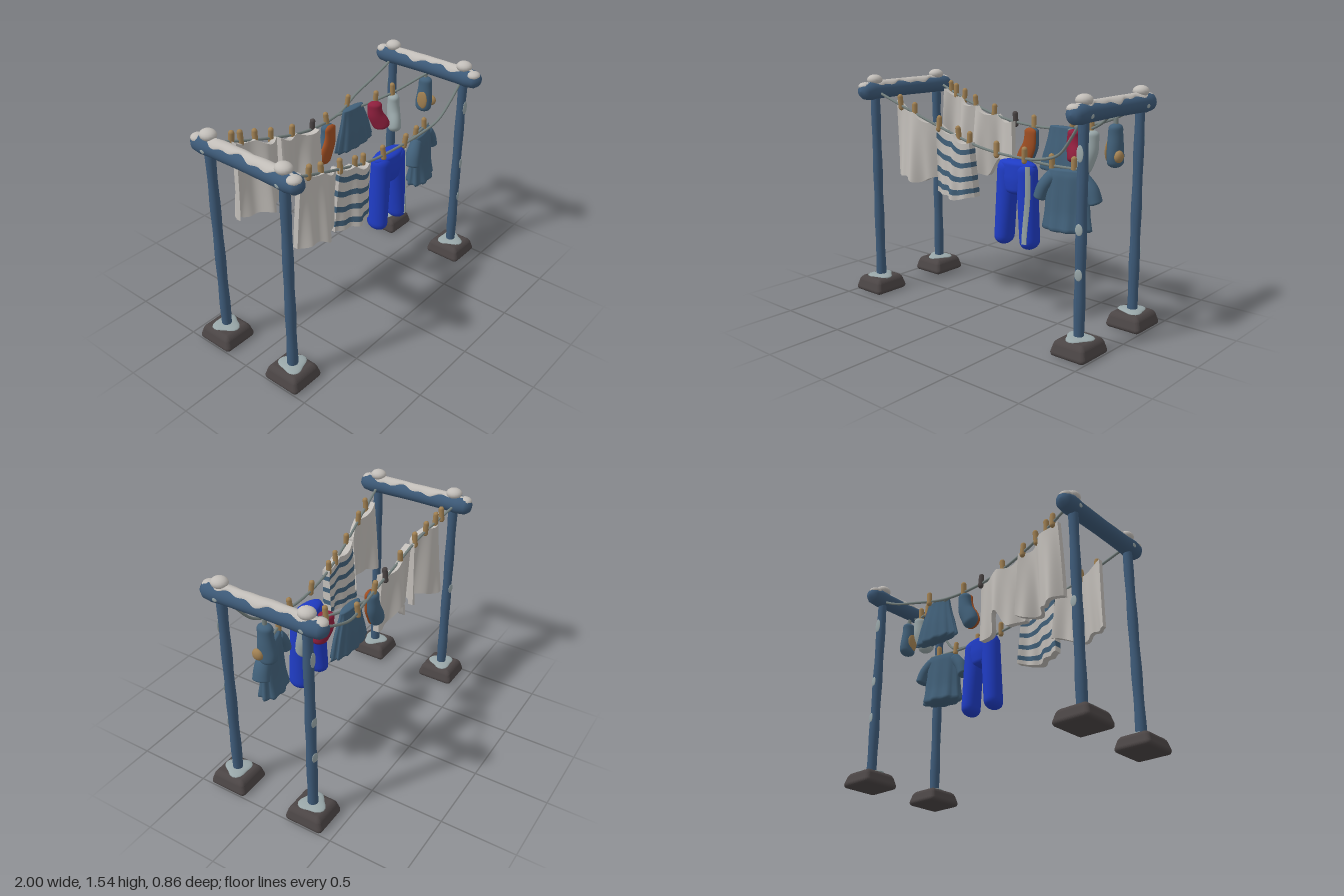
import * as THREE from 'three';
import { RoundedBoxGeometry } from 'three/addons/geometries/RoundedBoxGeometry.js';

const material = (name, color, side = THREE.FrontSide) => {
  const m = new THREE.MeshStandardMaterial({ color, side });
  m.name = name;
  return m;
};

export function createModel() {
  const root = new THREE.Group();
  root.name = 'clothesline';
  const M = {
    paint: material('paintedBlue', 0x3d5a78),
    denim: material('fabricBlue', 0x416079),
    white: material('offWhite', 0xc1bdb8, THREE.DoubleSide),
    royal: material('royalBlue', 0x1f3cc4),
    red: material('crimson', 0x8e1f3d),
    orange: material('rust', 0x9e4e22),
    wood: material('wood', 0xa08052),
    pale: material('paleGrey', 0x98a6a8),
    stone: material('darkStone', 0x4b4545),
    rope: material('ropeGrey', 0x75817f),
  };
  const add = (name, geo, mat, x = 0, y = 0, z = 0, parent = root) => {
    const m = new THREE.Mesh(geo, mat);
    m.name = name;
    m.position.set(x, y, z);
    parent.add(m);
    return m;
  };
  const warp = (geo, rule) => {
    const p = geo.attributes.position, v = new THREE.Vector3();
    for (let i = 0; i < p.count; i++) {
      rule(v.fromBufferAttribute(p, i));
      p.setXYZ(i, v.x, v.y, v.z);
    }
    geo.computeVertexNormals();
    return geo;
  };
  const blob = (name, mat, x, y, z, sx, sy, sz) =>
    add(name, new THREE.SphereGeometry(1, 16, 10).scale(sx, sy, sz), mat, x, y, z);

  // Soft tube through stations [x, y, halfWidth, halfDepth], with rounded ends and optional pleats
  const loft = (stations, { cap = 0.1, pleat = 0, folds = 8 } = {}) => {
    const path = new THREE.CatmullRomCurve3(stations.map(s => new THREE.Vector3(s[0], s[1], 0)));
    const size = new THREE.CatmullRomCurve3(stations.map(s => new THREE.Vector3(s[2], s[3], 0)));
    const rows = 28, cols = 40, pos = [], idx = [];
    for (let i = 0; i <= rows; i++) {
      const t = (1 - Math.cos(Math.PI * i / rows)) / 2;
      const p = path.getPoint(t), d = path.getTangent(t), s = size.getPoint(t);
      const e = Math.max(0, 1 - Math.min(t, 1 - t) / cap), k = Math.sqrt(1 - e * e);
      for (let j = 0; j < cols; j++) {
        const a = j / cols * Math.PI * 2, r = k * (1 + pleat * (1 - t) * Math.cos(folds * a));
        const w = s.x * r * Math.cos(a);
        pos.push(p.x + d.y * w, p.y - d.x * w, s.y * r * Math.sin(a));
        if (i < rows) {
          const b = i * cols + j, c = i * cols + (j + 1) % cols;
          idx.push(b, b + cols, c, c, b + cols, c + cols);
        }
      }
    }
    const g = new THREE.BufferGeometry();
    g.setAttribute('position', new THREE.Float32BufferAttribute(pos, 3));
    g.setIndex(idx);
    g.computeVertexNormals();
    return g;
  };

  // Two end frames: posts, stone feet, cross beam and snow
  for (const sx of [-1, 1]) {
    const x = sx * 0.875;
    for (const sz of [-1, 1]) {
      const z = sz * 0.295;
      add('foot', warp(new RoundedBoxGeometry(0.255, 0.105, 0.275, 4, 0.03), v => {
        const k = 1 - 0.22 * Math.pow((v.y + 0.0525) / 0.105, 1.6);
        v.x *= k; v.z *= k;
      }), M.stone, x + sx * 0.003, 0.0525, z);
      add('footSnow', warp(new THREE.SphereGeometry(1, 24, 10), v => {
        const k = 1 + 0.16 * Math.sin(3 * Math.atan2(v.z, v.x) + sx + 2 * sz);
        v.set(v.x * k * 0.085, v.y * 0.016, v.z * k * 0.085);
      }), M.pale, x, 0.104, z);
      add('post', warp(new THREE.CylinderGeometry(0.031, 0.034, 1.34, 16, 30), v => {
        const k = 1 + 0.05 * Math.sin(v.y * 17 + sx * 2 + sz);
        v.x *= k; v.z *= k;
      }), M.paint, x, 0.74, z);
      blob('beamSnowLump', M.white, x, 1.508, z, 0.05, 0.036, 0.055);
      blob('beamEndSnow', M.white, x - 0.008, 1.468, sz * 0.375, 0.046, 0.028, 0.046);
      blob('beamChip', M.pale, x + sx * 0.056, 1.425, z, 0.006, 0.017, 0.02);
      // Worn spots on the posts: height, direction, half height
      [[0.5, 0.25, 0.036], [0.77, 0.15, 0.036], [1.21, 0, 0.05]].forEach(([y, a, h], i) => {
        if (sx < 0 && (i !== 1 || sz > 0)) return;
        const chip = blob('postChip', M.pale, x + Math.sin(a) * 0.031, y, z + sz * Math.cos(a) * 0.031,
          0.024, h, 0.005);
        chip.rotation.y = sz > 0 ? a : Math.PI - a;
      });
    }
    const profile = [[0, -0.425], [0.035, -0.418], [0.056, -0.39], [0.063, -0.33], [0.058, -0.25], [0.055, 0],
      [0.058, 0.25], [0.063, 0.33], [0.056, 0.39], [0.035, 0.418], [0, 0.425]];
    add('beam', new THREE.LatheGeometry(profile.map(p => new THREE.Vector2(...p)), 24).rotateX(Math.PI / 2),
      M.paint, x, 1.435, 0);
    // Snow blanket with a wandering edge along the beam
    add('beamSnow', warp(new THREE.PlaneGeometry(2, 2, 16, 60), v => {
      const z = v.y * 0.41, reach = 0.76 + 0.22 * Math.sin(z * 19 + sx + v.x) + 0.16 * Math.sin(z * 43 + 2 * v.x);
      const a = v.x * reach, end = Math.sqrt(Math.max(0, 1 - Math.pow(Math.abs(v.y), 8)));
      const r = (0.057 + 0.011 * (1 - v.x * v.x)) * (0.4 + 0.6 * end);
      v.set(Math.sin(a) * r, Math.cos(a) * r, -z);
    }), M.white, x, 1.435, 0);
  }

  // Sagging ropes
  const rope = pts => {
    const c = new THREE.CatmullRomCurve3(pts.map(p => new THREE.Vector3(...p)));
    add('rope', new THREE.TubeGeometry(c, 60, 0.009, 8), M.rope);
    return c;
  };
  const frontRope = rope([[-0.86, 1.43, 0.29], [-0.6, 1.33, 0.26], [-0.3, 1.22, 0.22], [0, 1.13, 0.195],
    [0.3, 1.1, 0.19], [0.5, 1.115, 0.21], [0.67, 1.17, 0.245], [0.78, 1.29, 0.27], [0.87, 1.42, 0.29]]);
  const backRope = rope([[-0.86, 1.44, -0.32], [-0.5, 1.34, -0.25], [-0.2, 1.26, -0.235], [0, 1.23, -0.24],
    [0.25, 1.22, -0.27], [0.5, 1.26, -0.325], [0.7, 1.33, -0.315], [0.87, 1.42, -0.29]]);
  const sockRope = rope([[0.2, 1.22, -0.265], [0.38, 1.23, -0.22], [0.54, 1.25, -0.165], [0.68, 1.29, -0.1],
    [0.8, 1.35, -0.03], [0.87, 1.4, 0.03]]);
  const shirtRope = rope([[0.38, 1.1, 0.19], [0.5, 1.08, 0.165], [0.65, 1.07, 0.13], [0.76, 1.07, 0.11]]);
  const at = (curve, x) => {
    let lo = 0, hi = 1;
    for (let i = 0; i < 20; i++) {
      const mid = (lo + hi) / 2;
      if (curve.getPoint(mid).x < x) lo = mid; else hi = mid;
    }
    return curve.getPoint(lo);
  };

  // Clothes pegs
  const pegs = (curve, xs, mat = M.wood) => xs.forEach((x, i) => {
    const p = at(curve, x);
    const peg = add('peg', new THREE.CapsuleGeometry(0.018, 0.075, 5, 10), mat, p.x, p.y + 0.02, p.z);
    peg.rotation.set(0.1 * Math.cos(i * 2), 0, 0.12 * Math.sin(i * 3));
  });
  pegs(frontRope, [-0.65, -0.53, -0.33, -0.17, -0.08, 0.14, 0.37]);
  pegs(backRope, [-0.71, -0.65, -0.55, -0.43, -0.25, 0.09, 0.37]);
  pegs(backRope, [-0.06], M.stone);
  pegs(sockRope, [0.52, 0.64]);
  pegs(shirtRope, [0.55, 0.69]);

  // Hanging cloth between heights v0 and v1, with folds that deepen downwards
  const cloth = (name, mat, curve, x0, x1, drop, o) => {
    const { v0 = 0, v1 = 1, amp, waves, phase, thick, dz = 0, notch = 0, ripple = 0.015 } = o;
    const rows = Math.max(2, Math.round(20 * (v1 - v0)));
    add(name, warp(new THREE.BoxGeometry(1, 1, thick, 44, rows, 1), v => {
      const u = v.x + 0.5, t = v0 + (0.5 - v.y) * (v1 - v0);
      const x = x0 + (x1 - x0) * u, p = at(curve, x), low = at(curve, (x0 + x1) / 2).y;
      const top = p.y + 0.01 - 0.025 * Math.abs(Math.sin(u * Math.PI * 2));
      const hem = low - drop - 0.02 * Math.sin(u * Math.PI) + ripple * Math.sin(u * 11 + phase)
        + notch * Math.exp(-Math.pow((u - 0.5) / 0.14, 2));
      v.set(x + (u - 0.5) * 0.04 * t, top + (hem - top) * t,
        p.z + dz + v.z + amp * (0.55 + 0.45 * t) * Math.sin(u * waves * Math.PI * 2 + phase + t * 0.7)
        + 0.3 * amp * t * Math.sin(u * 19 + phase));
    }), mat);
  };
  cloth('frontSheet', M.white, frontRope, -0.7, -0.36, 0.43,
    { phase: -1.9, amp: 0.045, waves: 0.9, thick: 0.035, dz: -0.01 });
  cloth('backSheet', M.white, backRope, -0.73, -0.4, 0.49,
    { phase: 2, amp: 0.05, waves: 1.3, thick: 0.035, dz: 0.02 });
  cloth('backTrousers', M.white, backRope, -0.39, -0.05, 0.42,
    { phase: 0.6, amp: 0.04, waves: 1.2, notch: 0.14, thick: 0.04, dz: 0.012 });

  // Striped towel in alternating bands
  const edges = [0, 0.11, 0.2, 0.35, 0.44, 0.6, 0.69, 0.83, 0.92, 1];
  for (let i = 0; i < edges.length - 1; i++)
    cloth(i % 2 ? 'towelStripe' : 'towel', i % 2 ? M.denim : M.white, frontRope, -0.345, -0.055, 0.395,
      { v0: edges[i], v1: edges[i + 1], amp: 0.036, waves: 0.8, phase: -2.3, thick: 0.055, ripple: 0.006 });

  // Royal blue trousers; each leg narrows evenly from hip to hem
  const trousers = new THREE.Group();
  trousers.name = 'trousers';
  trousers.position.set(0.268, 0, 0.137);
  root.add(trousers);
  add('waist', loft([[0, 0.85, 0.09, 0.06], [0, 0.98, 0.14, 0.068], [0, 1.075, 0.14, 0.06]],
    { cap: 0.14 }), M.royal, 0, 0, 0, trousers);
  const leg = y => {
    const t = (y - 0.51) / 0.56;
    return { c: 0.108 - 0.036 * t, a: 0.057 + 0.016 * t, b: 0.076 - 0.012 * t };
  };
  for (const s of [-1, 1])
    add('leg', loft([0.51, 0.79, 1.07].map(y => [s * leg(y).c, y, leg(y).a, leg(y).b])),
      M.royal, 0, 0, 0, trousers);
  // Side stripe lying on the front of one leg
  add('sideStripe', warp(new THREE.BoxGeometry(0.022, 0.49, 0.006, 4, 16, 1), v => {
    const y = v.y + 0.805, x = v.x * (1.15 - v.y) + 0.121 + 0.006 * Math.sin(y * 9), { c, a, b } = leg(y);
    v.set(x, y, v.z + 0.002 + b * Math.sqrt(1 - ((x - c) / a) ** 2));
  }), M.pale, 0, 0, 0, trousers);

  // Short-sleeved shirt
  const shirt = new THREE.Group();
  shirt.name = 'shirt';
  shirt.position.set(0.655, 0, 0.132);
  shirt.rotation.y = 0.25;
  root.add(shirt);
  add('shirtBody', loft([[0, 0.675, 0.152, 0.085], [0, 0.8, 0.138, 0.06], [0, 0.94, 0.134, 0.05],
    [0, 1.02, 0.134, 0.044], [0, 1.065, 0.115, 0.032]], { cap: 0.05, pleat: 0.1, folds: 9 }), M.denim, 0, 0, 0, shirt);
  for (const s of [-1, 1])
    add('sleeve', loft([[s * 0.182, 0.865, 0.042, 0.056], [s * 0.15, 0.95, 0.044, 0.05], [s * 0.085, 1.03, 0.042, 0.037]],
      { cap: 0.08 }), M.denim, 0, 0, 0, shirt);

  // Pleated skirt
  add('skirt', loft([[0.36, 0.94, 0.185, 0.05], [0.355, 1.08, 0.15, 0.044], [0.345, 1.2, 0.11, 0.032],
    [0.345, 1.25, 0.1, 0.028]], { cap: 0.05, pleat: 0.13, folds: 11 }), M.denim, 0, 0, -0.23);

  // Socks, with the toe leaning along local -x by the bend
  const sock = (name, mat, x, y, z, turn, bend, depth, width) => {
    const m = add(name, loft([[-bend, -0.255, 0.044 * width, depth], [-bend * 0.65, -0.19, 0.052 * width, depth],
      [-bend * 0.15, -0.12, 0.047 * width, depth], [0, -0.05, 0.041 * width, depth * 0.9],
      [0, 0.01, 0.042 * width, depth * 0.85]], { cap: 0.13 }), mat, x, y, z);
    m.rotation.y = turn;
    return m;
  };
  sock('sockFront', M.orange, 0.088, 1.205, -0.211, 0, 0.072, 0.024, 1.14);
  sock('sockBack', M.denim, 0.088, 1.205, -0.236, 0, 0.072, 0.045, 1.14);
  sock('redSock', M.red, 0.49, 1.245, -0.155, -0.8, -0.06, 0.05, 1.2).scale.y = 0.77;
  sock('greySock', M.pale, 0.65, 1.258, -0.115, 0.9, 0.06, 0.046, 1.12);
  sock('hangingSock', M.denim, 0.885, 1.335, -0.015, Math.PI / 2, -0.01, 0.046, 1.2);
  blob('sockPatch', M.wood, 0.931, 1.155, 0.012, 0.024, 0.037, 0.037);
  blob('sockPatch', M.wood, 0.846, 1.18, -0.01, 0.012, 0.07, 0.042);
  add('peg', new THREE.CapsuleGeometry(0.014, 0.04, 4, 10), M.rope, 0.885, 1.355, -0.015);
  return root;
}
